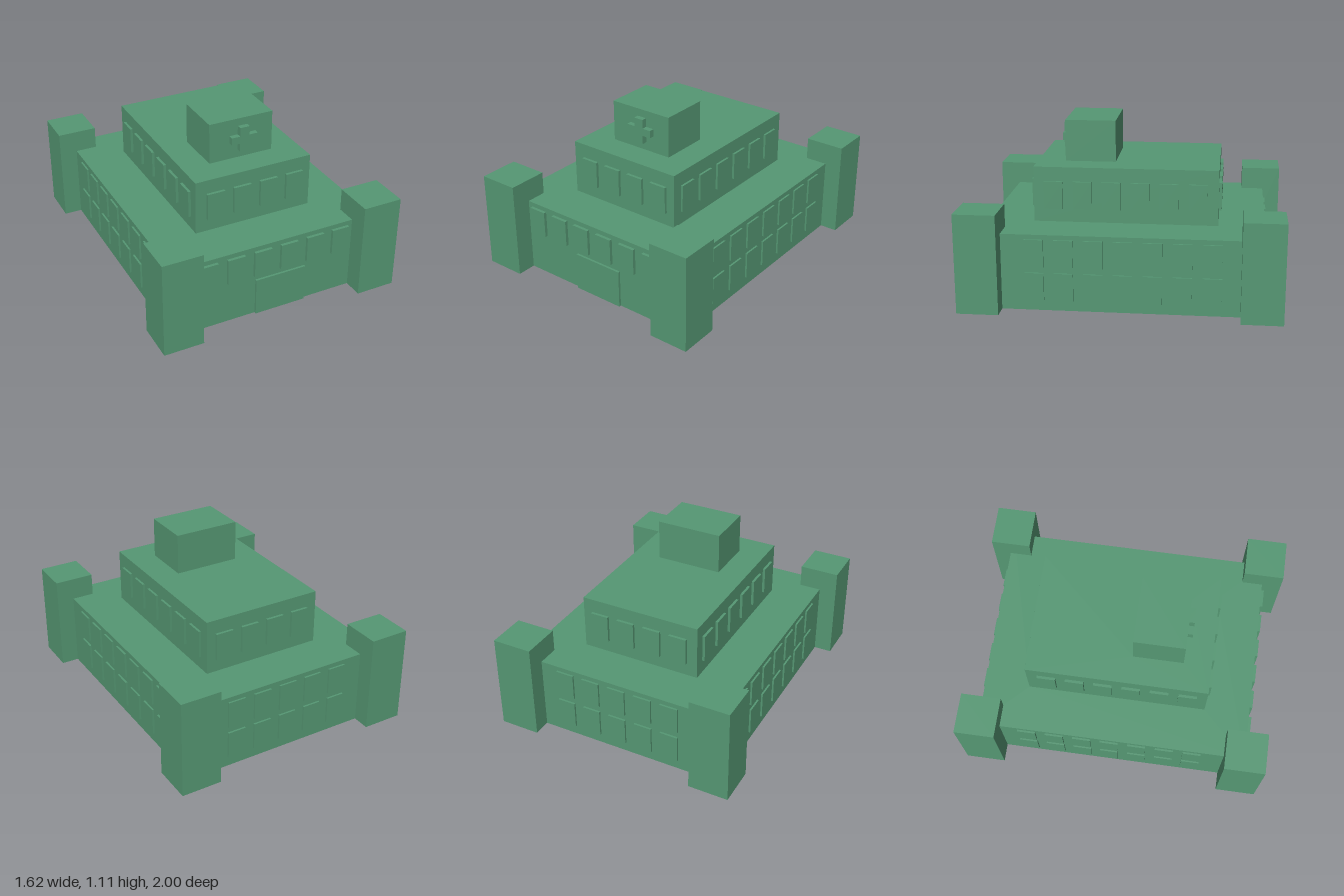
import * as THREE from 'three';

const material = new THREE.MeshStandardMaterial({ color: 0x559773, side: THREE.DoubleSide, flatShading: true });

function addMesh(parent, name, geometry) {
  const mesh = new THREE.Mesh(geometry, material);
  mesh.name = name;
  parent.add(mesh);
  return mesh;
}

// Box given by its min and max corners
function block([x0, y0, z0], [x1, y1, z1]) {
  return new THREE.BoxGeometry(x1 - x0, y1 - y0, z1 - z0)
    .translate((x0 + x1) / 2, (y0 + y1) / 2, (z0 + z1) / 2);
}

// Rectangle on the ground plan; z is flipped because the roof is laid flat later
function planRect(Type, { x0, x1, z0, z1 }) {
  return new Type([[x0, -z0], [x1, -z0], [x1, -z1], [x0, -z1]].map(([x, y]) => new THREE.Vector2(x, y)));
}

// Hollow storey: four walls and a roof, open below and under the storey above
function addStorey(parent, name, plan, y0, y1, above) {
  const storey = new THREE.Group();
  storey.name = name;
  const walls = block([plan.x0, y0, plan.z0], [plan.x1, y1, plan.z1]);
  const index = Array.from(walls.index.array);
  walls.setIndex([...index.slice(0, 12), ...index.slice(24)]); // drop top and bottom
  walls.clearGroups();
  addMesh(storey, name + 'Walls', walls);
  const shape = planRect(THREE.Shape, plan);
  if (above) shape.holes.push(planRect(THREE.Path, above));
  addMesh(storey, name + 'Roof', new THREE.ShapeGeometry(shape).rotateX(-Math.PI / 2).translate(0, y1, 0));
  parent.add(storey);
}

// Row of raised windows on a wall; axis is the direction the row runs in,
// inner and outer are the window's two faces across the wall
function addWindows(parent, name, axis, start, count, [y0, y1], inner, outer) {
  const row = new THREE.Group();
  row.name = name;
  const width = 0.119, pitch = 0.1825;
  const near = Math.min(inner, outer), far = Math.max(inner, outer);
  for (let i = 0; i < count; i++) {
    const a = start + i * pitch, b = a + width;
    addMesh(row, 'window', axis === 'x'
      ? block([a, y0, near], [b, y1, far])
      : block([near, y0, a], [far, y1, b]));
  }
  parent.add(row);
}

export function createModel() {
  const model = new THREE.Group();
  model.name = 'building';

  // Stepped storeys
  const ground = { x0: -0.693, x1: 0.693, z0: -0.885, z1: 0.873 };
  const upper = { x0: -0.398, x1: 0.398, z0: -0.59, z1: 0.578 };
  const top = { x0: -0.217, x1: 0.219, z0: 0.076, z1: 0.4 };
  addStorey(model, 'groundStorey', ground, 0, 0.488, upper);
  addStorey(model, 'upperStorey', upper, 0.488, 0.843, top);
  addStorey(model, 'rooftopBlock', top, 0.843, 1.11);

  // Corner towers
  for (const [x0, x1] of [[-0.81, -0.549], [0.545, 0.807]])
    for (const [z0, z1] of [[-1, -0.74], [0.737, 1]])
      addStorey(model, 'cornerTower', { x0, x1, z0, z1 }, 0, 0.636);

  // Ground storey windows
  const low = [0.066, 0.244], high = [0.284, 0.458];
  addWindows(model, 'frontWindows', 'x', -0.517, 6, high, ground.z1, 0.893);
  for (const rows of [low, high]) {
    addWindows(model, 'backWindows', 'x', -0.42, 5, rows, ground.z0, -0.898);
    addWindows(model, 'leftWindows', 'z', -0.625, 7, rows, ground.x1, 0.705);
    addWindows(model, 'rightWindows', 'z', -0.625, 7, rows, ground.x0 + 0.005, -0.705);
  }

  // Upper storey windows
  const mid = [0.574, 0.752];
  addWindows(model, 'upperFrontWindows', 'x', -0.325, 4, mid, upper.z1, 0.597);
  addWindows(model, 'upperBackWindows', 'x', -0.328, 4, mid, upper.z0, -0.608);
  addWindows(model, 'upperLeftWindows', 'z', -0.52, 6, mid, upper.x1, 0.413);
  addWindows(model, 'upperRightWindows', 'z', -0.52, 6, mid, upper.x0, -0.415);

  // Entrance door
  addMesh(model, 'door', block([-0.138, 0, ground.z1], [0.207, 0.25, 0.888]));

  // Raised cross sign on the rooftop block
  const sign = new THREE.Shape([
    [-0.022, 0.897], [0.043, 0.897], [0.043, 0.953], [0.101, 0.953], [0.101, 1.002], [0.043, 1.002],
    [0.043, 1.06], [-0.022, 1.06], [-0.022, 1.002], [-0.079, 1.002], [-0.079, 0.953], [-0.022, 0.953],
  ].map(([x, y]) => new THREE.Vector2(x, y)));
  addMesh(model, 'crossSign', new THREE.ExtrudeGeometry(sign, { depth: 0.035, bevelEnabled: false }))
    .position.z = top.z1;

  return model;
}
